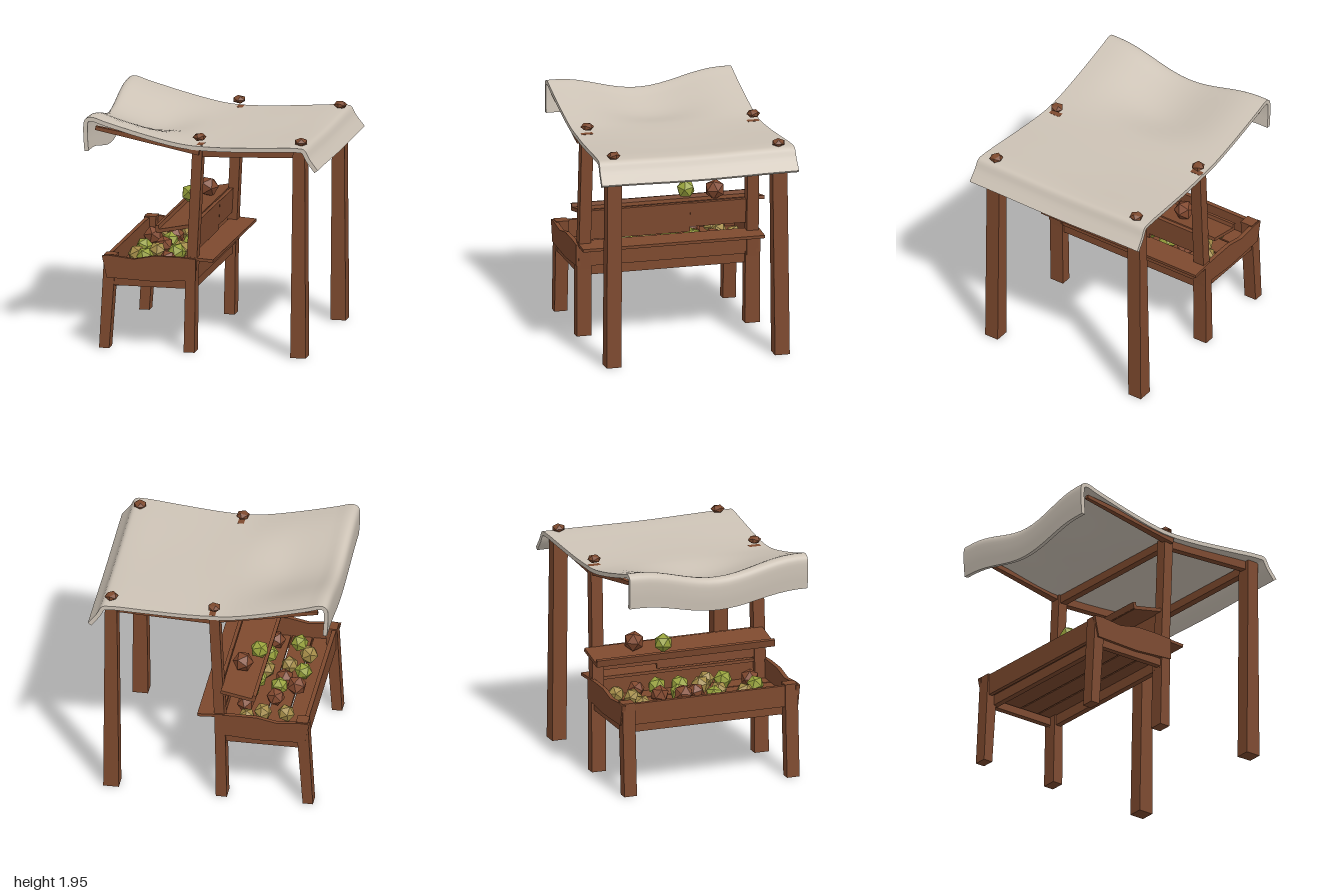
import * as THREE from 'three';

const mat = (name, color) => {
  const m = new THREE.MeshStandardMaterial({ color });
  m.name = name;
  return m;
};

export function createModel() {
  const root = new THREE.Group();
  root.name = 'marketStall';
  const wood = mat('wood', 0x7d492e);
  const canvas = mat('canvas', 0xcdc3b6);
  const fruitMats = {
    green: mat('green fruit', 0x98a23c),
    olive: mat('olive fruit', 0xa48c48),
    brown: mat('brown fruit', 0x82492f),
  };
  const V = (a) => new THREE.Vector3(...a);
  let seed = 7;
  const rand = () => (seed = (seed * 16807) % 2147483647) / 2147483647;

  function add(name, geo, material, pos = [0, 0, 0]) {
    const m = new THREE.Mesh(geo, material);
    m.name = name;
    m.position.set(...pos);
    root.add(m);
    return m;
  }

  // Straight timber between two points; the far end may taper
  function beam(name, a, b, w, d, taper = 1) {
    const dir = V(b).sub(V(a));
    const len = dir.length();
    const geo = new THREE.BoxGeometry(w, len, d);
    const p = geo.attributes.position;
    for (let i = 0; i < p.count; i++) {
      if (p.getY(i) > 0) p.setXYZ(i, p.getX(i) * taper, p.getY(i), p.getZ(i) * taper);
    }
    geo.computeVertexNormals();
    const m = add(name, geo, wood, V(a).add(V(b)).multiplyScalar(0.5).toArray());
    m.quaternion.setFromUnitVectors(new THREE.Vector3(0, 1, 0), dir.normalize());
    return m;
  }

  // Upright timber with level ends, leaning from one centre to another
  function post(name, x0, x1, z0, z1, y0, y1, w0, w1, d) {
    const geo = new THREE.BoxGeometry(1, 1, 1);
    const p = geo.attributes.position;
    for (let i = 0; i < p.count; i++) {
      const up = p.getY(i) > 0;
      p.setXYZ(i, (up ? x1 : x0) + p.getX(i) * (up ? w1 : w0), up ? y1 : y0,
        (up ? z1 : z0) + p.getZ(i) * d);
    }
    geo.computeVertexNormals();
    add(name, geo, wood);
  }

  const box = (name, size, pos) => add(name, new THREE.BoxGeometry(...size), wood, pos);

  // Posts, legs, knobs and roof rails on both sides
  for (const s of [1, -1]) {
    const z = s > 0 ? 0.7 : -0.735;
    const zt = s > 0 ? 0.69 : -0.715;
    post('tallPost', 0.815, 0.82, z, zt, 0, 1.77, 0.13, 0.1, 0.125);
    post('innerLeg', -0.105, -0.095, z, z, 0, 0.62, 0.092, 0.085, 0.125);
    post('innerPost', -0.098, -0.04, z, s > 0 ? 0.685 : -0.73, 0.52, 1.75, 0.085, 0.085, 0.1);
    post('outerLeg', -0.825, -0.775, z, z, 0, 0.79, 0.085, 0.1, 0.11);
    for (const [x, y] of [[-0.035, 1.805], [0.825, 1.81]]) {
      const knob = add('postKnob', new THREE.IcosahedronGeometry(0.058, 0), wood,
        [x, y, x < 0 ? (s > 0 ? 0.68 : -0.735) : zt]);
      knob.scale.y = 0.6;
      knob.rotation.y = s + x;
    }
    beam('roofRail', [-0.04, 1.68, zt], [0.83, 1.715, zt], 0.07, 0.06);
    beam('roofArm', [-0.02, 1.7, s * 0.735], [-0.9, 1.85, s * 0.735], 0.06, 0.07, 0.5);
  }
  for (const [x, y] of [[-0.04, 1.68], [0.82, 1.705]]) {
    beam('crossBeam', [x, y, -0.72], [x, y, 0.69], 0.06, 0.07);
  }

  // Trough end boards with an uneven rim
  const rim = [[-0.8, 0.6], [-0.4, 0.585], [-0.05, 0.61], [-0.05, 0.79], [-0.2, 0.8],
    [-0.4, 0.8], [-0.57, 0.765], [-0.76, 0.785], [-0.84, 0.78]];
  const endShape = new THREE.Shape(rim.map(([x, y]) => new THREE.Vector2(x, y)));
  for (const z of [0.735, -0.8]) {
    add('troughEnd', new THREE.ExtrudeGeometry(endShape, { depth: 0.035, bevelEnabled: false }),
      wood, [0, 0, z]);
  }
  for (const z of [0.72, -0.75]) box('endRail', [0.68, 0.065, 0.05], [-0.41, 0.565, z]);

  // Trough sides, long rails, floor planks and counter plank
  box('outerSide', [0.035, 0.18, 1.5], [-0.8, 0.69, -0.015]);
  box('innerSide', [0.035, 0.18, 1.5], [-0.075, 0.69, -0.015]);
  for (const x of [-0.74, -0.1]) box('longRail', [0.05, 0.1, 1.45], [x, 0.57, -0.015]);
  for (let i = 0; i < 4; i++) {
    box('floorPlank', [0.165, 0.025, 1.5], [-0.7 + i * 0.178, 0.62, -0.015]);
  }
  const counter = box('counterPlank', [0.21, 0.025, 1.55], [-0.01, 0.784, -0.025]);
  counter.rotation.z = -0.06;

  // Raised shelf, its lip and the boards behind it
  const shelf = box('shelf', [0.29, 0.03, 1.57], [-0.25, 1.027, -0.065]);
  shelf.rotation.z = 0.2;
  const lip = box('shelfLip', [0.03, 0.055, 1.57], [-0.385, 1.02, -0.065]);
  lip.rotation.z = 0.2;
  const boardA = box('backBoard', [0.03, 0.25, 0.9], [-0.095, 0.942, 0.24]);
  const boardB = box('backBoard', [0.03, 0.205, 0.5], [-0.093, 0.962, -0.46]);
  boardA.rotation.z = boardB.rotation.z = -0.05;

  // Fruit: colour, x, y, z, radius
  const fruit = [
    ['green', -0.33, 1.11, -0.24, 0.08], ['brown', -0.23, 1.12, -0.46, 0.087],
    ['green', -0.54, 0.73, 0.49, 0.075], ['brown', -0.34, 0.72, 0.52, 0.08],
    ['green', -0.32, 0.73, 0.29, 0.08], ['olive', -0.33, 0.71, 0.09, 0.08],
    ['green', -0.29, 0.72, -0.08, 0.08], ['brown', -0.5, 0.71, -0.02, 0.08],
    ['green', -0.64, 0.72, 0.09, 0.075], ['olive', -0.51, 0.71, 0.18, 0.075],
    ['green', -0.26, 0.72, -0.27, 0.08], ['brown', -0.48, 0.72, -0.33, 0.08],
    ['olive', -0.41, 0.7, -0.54, 0.075], ['olive', -0.29, 0.7, -0.64, 0.075],
    ['olive', -0.6, 0.7, -0.53, 0.075], ['brown', -0.25, 0.71, -0.45, 0.075],
    ['olive', -0.64, 0.71, 0.36, 0.08], ['brown', -0.63, 0.75, -0.18, 0.085],
    ['green', -0.48, 0.72, -0.16, 0.075], ['olive', -0.17, 0.7, 0.2, 0.07],
  ];
  for (const [kind, x, y, z, r] of fruit) {
    const f = add(kind + 'Fruit', new THREE.IcosahedronGeometry(r, 0), fruitMats[kind], [x, y, z]);
    f.rotation.set(rand() * 3, rand() * 3, rand() * 3);
  }

  // Cloth roof: a slab bent between an edge profile and a sagging middle profile
  const curve = (pts) => new THREE.CatmullRomCurve3(pts.map(([x, y]) => new THREE.Vector3(x, y, 0)));
  const edge = curve([[-0.985, 1.66], [-0.995, 1.82], [-0.985, 1.92], [-0.94, 1.947], [-0.8, 1.91],
    [-0.5, 1.83], [-0.2, 1.765], [-0.05, 1.75], [0.2, 1.75], [0.55, 1.77], [0.82, 1.785],
    [0.885, 1.775], [0.93, 1.7], [1.0, 1.61]]);
  const middle = curve([[-0.975, 1.56], [-0.985, 1.7], [-0.975, 1.8], [-0.93, 1.83], [-0.8, 1.785],
    [-0.5, 1.715], [-0.2, 1.745], [-0.05, 1.75], [0.2, 1.75], [0.55, 1.76], [0.82, 1.775],
    [0.885, 1.765], [0.93, 1.69], [1.0, 1.6]]);
  const geo = new THREE.BoxGeometry(2, 1, 2, 52, 1, 18);
  const p = geo.attributes.position;
  for (let i = 0; i < p.count; i++) {
    const u = (p.getX(i) + 1) / 2;
    const t = p.getZ(i);
    const sag = Math.cos((Math.PI / 2) * Math.min(1, Math.abs(t) / 0.9)) ** 2;
    const pt = edge.getPoint(u).lerp(middle.getPoint(u), sag);
    const tan = edge.getTangent(u).lerp(middle.getTangent(u), sag).normalize();
    const down = p.getY(i) < 0 ? 0.035 : 0;
    const flare = Math.max(0, pt.x) * 0.055;
    p.setXYZ(i, pt.x + tan.y * down, pt.y - tan.x * down, t * ((t > 0 ? 0.78 : 0.79) + flare));
  }
  geo.computeVertexNormals();
  add('clothRoof', geo, canvas);

  return root;
}
